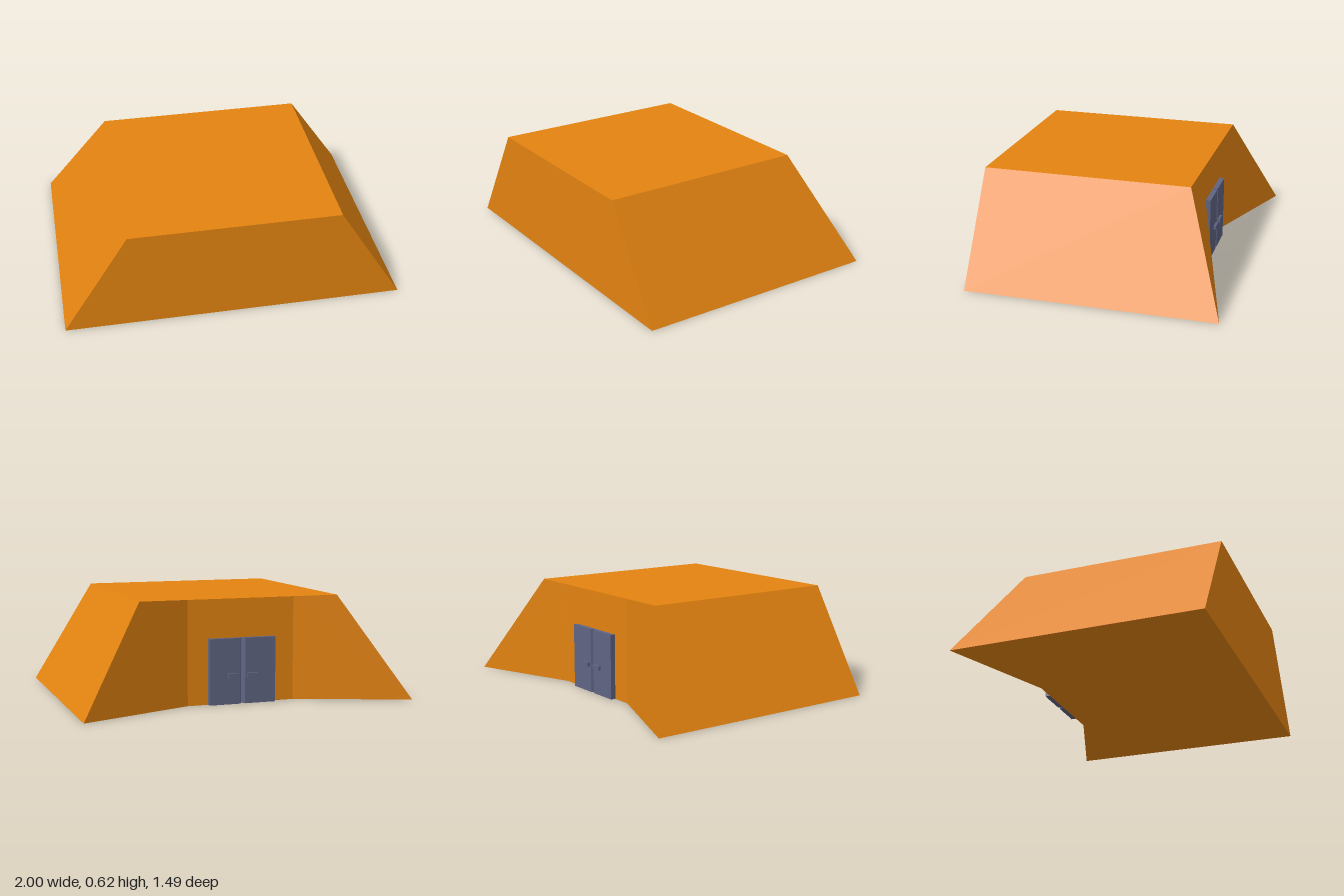
import * as THREE from 'three';

const H = 0.62, ZF = 0.745, ZB = -0.745, ZW = -0.49; // height, front, back corners, door wall
const XB = 1, XT = 0.615, XD = 0.33;                 // base, roof and door wall half-widths

// Flat-shaded faces, each a fan of corners sharing the normal of its first triangle
function facesGeometry(faces) {
  const pos = [], nor = [];
  for (const f of faces) {
    const p = f.map((c) => new THREE.Vector3(...c));
    const n = new THREE.Triangle(p[0], p[1], p[2]).getNormal(new THREE.Vector3());
    for (let i = 1; i < p.length - 1; i++) {
      for (const v of [p[0], p[i], p[i + 1]]) {
        pos.push(v.x, v.y, v.z);
        nor.push(n.x, n.y, n.z);
      }
    }
  }
  const g = new THREE.BufferGeometry();
  g.setAttribute('position', new THREE.Float32BufferAttribute(pos, 3));
  g.setAttribute('normal', new THREE.Float32BufferAttribute(nor, 3));
  return g;
}

export function createModel() {
  const group = new THREE.Group();
  const orange = new THREE.MeshStandardMaterial({ name: 'orange wall', color: 0xe38310 });
  const slate = new THREE.MeshStandardMaterial({ name: 'slate door', color: 0x5f6482 });

  const add = (name, geometry, material) => {
    const mesh = new THREE.Mesh(geometry, material);
    mesh.name = name;
    group.add(mesh);
    return mesh;
  };

  // Bunker body: sloped sides, upright front, recessed back wall between two wings
  add('bunkerBody', facesGeometry([
    [[-XB, 0, ZF], [XB, 0, ZF], [XT, H, ZF], [-XT, H, ZF]],           // front
    [[-XT, H, ZF], [XT, H, ZF], [XT, H, ZW], [-XT, H, ZW]],           // roof
    [[XB, 0, ZF], [XB, 0, ZB], [XT, H, ZW], [XT, H, ZF]],             // left slope
    [[-XB, 0, ZB], [-XB, 0, ZF], [-XT, H, ZF], [-XT, H, ZW]],         // right slope
    [[XD, 0, ZW], [-XD, 0, ZW], [-XD, H, ZW], [XD, H, ZW]],           // door wall
    [[XB, 0, ZB], [XD, 0, ZW], [XD, H, ZW], [XT, H, ZW]],             // left wing
    [[-XD, H, ZW], [-XD, 0, ZW], [-XB, 0, ZB], [-XT, H, ZW]],         // right wing
    [[XD, 0, ZW], [XB, 0, ZB], [XB, 0, ZF], [-XB, 0, ZF]],            // floor
    [[-XD, 0, ZW], [XD, 0, ZW], [-XB, 0, ZF], [-XB, 0, ZB]],
  ]), orange);

  // Double doors with bevelled meeting edges, and a bar handle on each
  for (const s of [1, -1]) {
    const side = s > 0 ? 'left' : 'right';
    const plan = new THREE.Shape([[0, 0.49], [0.205, 0.49], [0.205, 0.52], [0.015, 0.52]]
      .map(([x, d]) => new THREE.Vector2(s * x, d)));
    const door = new THREE.ExtrudeGeometry(plan, { depth: 0.39, bevelEnabled: false });
    door.rotateX(-Math.PI / 2);
    add(side + 'Door', door, slate);

    const handle = add(side + 'Handle', new THREE.BoxGeometry(0.065, 0.025, 0.02), slate);
    handle.position.set(s * 0.06, 0.17, -0.525);
  }
  return group;
}
